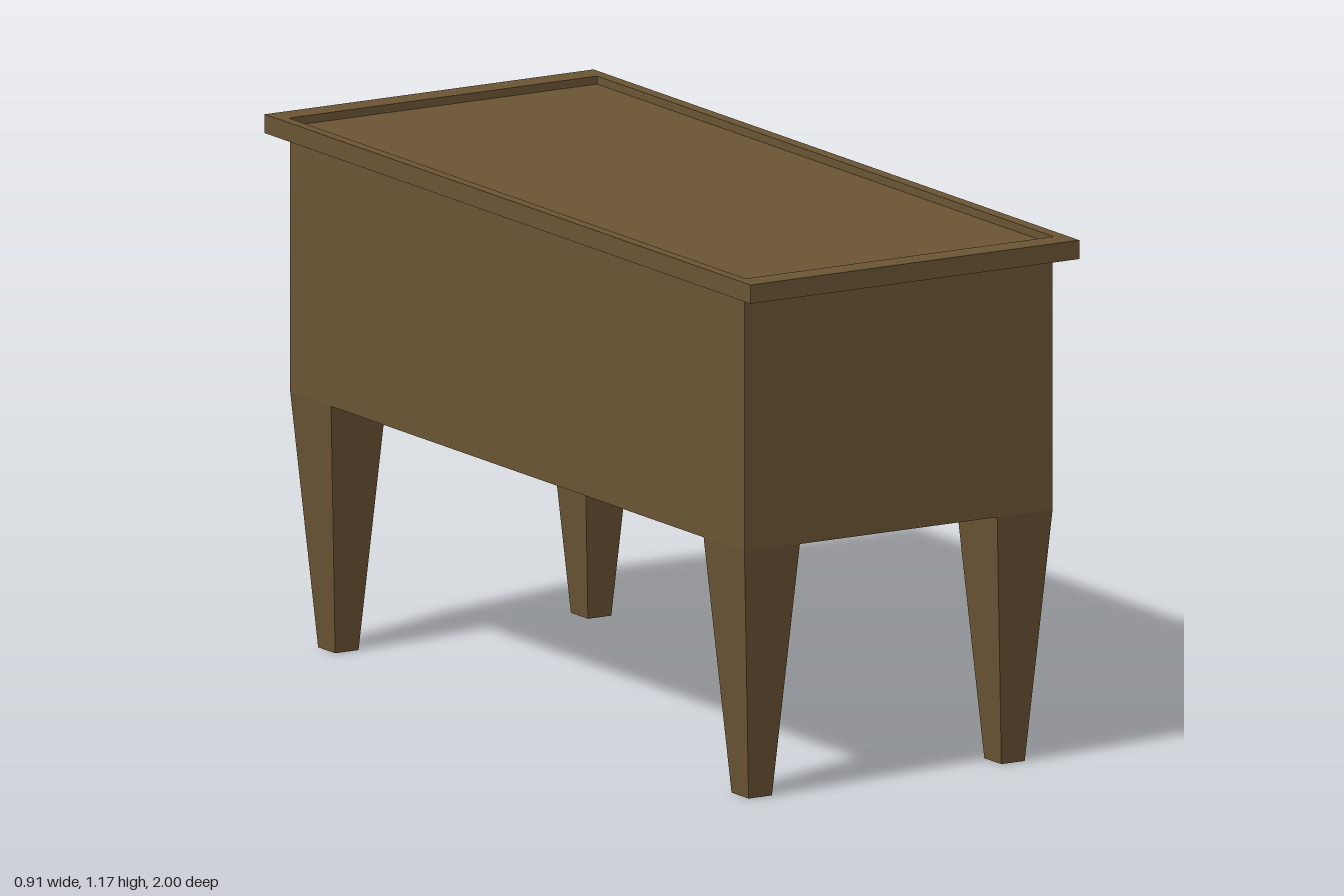
import * as THREE from 'three';

const wood = new THREE.MeshStandardMaterial({ color: 0x6b5535, flatShading: true });
const metal = new THREE.MeshStandardMaterial({ color: 0x77777c });

// Carcass extents; the drawers face +x
const X0 = -0.43, X1 = 0.36, Z = 0.935, BOTTOM = 0.565, RIM = 1.133, TOP = 1.175;

function add(parent, name, geometry, material = wood) {
  const mesh = new THREE.Mesh(geometry, material);
  mesh.name = name;
  parent.add(mesh);
  return mesh;
}

function box(x0, x1, y0, y1, z0, z1) {
  return new THREE.BoxGeometry(x1 - x0, y1 - y0, z1 - z0)
    .translate((x0 + x1) / 2, (y0 + y1) / 2, (z0 + z1) / 2);
}

function polygon(points) {
  return points.map(([x, y]) => new THREE.Vector2(x, y));
}

// Square leg narrowing evenly towards the floor
function legGeometry() {
  const g = new THREE.BoxGeometry(0.142, BOTTOM, 0.168);
  const p = g.attributes.position;
  for (let i = 0; i < p.count; i++) {
    if (p.getY(i) < 0) {
      p.setX(i, Math.sign(p.getX(i)) * 0.03);
      p.setZ(i, Math.sign(p.getZ(i)) * 0.035);
    }
  }
  g.computeVertexNormals();
  return g.translate(0, BOTTOM / 2, 0);
}

// Raised drawer front with its wedge-shaped pull and hanging ring
function drawer() {
  const group = new THREE.Group();
  group.name = 'drawer';
  add(group, 'drawerFront', box(X1 - 0.01, 0.38, 0.675, 1.053, -0.34, 0.34));

  const profile = new THREE.Shape(polygon([[0.375, 0.888], [0.453, 0.895], [0.425, 0.938], [0.375, 0.943]]));
  const pull = new THREE.ExtrudeGeometry(profile, { depth: 0.343, bevelEnabled: false });
  add(group, 'drawerPull', pull.translate(0, 0, -0.1715));

  const staple = add(group, 'ringStaple', new THREE.TorusGeometry(0.014, 0.005, 8, 20).rotateY(Math.PI / 2), metal);
  staple.position.set(0.383, 0.866, 0);

  const ring = add(group, 'pullRing', new THREE.TorusGeometry(0.03, 0.007, 10, 28).rotateY(Math.PI / 2), metal);
  ring.position.set(0.394, 0.852, 0);
  ring.rotation.z = 0.25;
  return group;
}

export function createModel() {
  const model = new THREE.Group();
  model.name = 'desk';

  add(model, 'carcass', box(X0, X1, BOTTOM, RIM, -Z, Z));

  // Tabletop rim around a slightly sunken panel
  const rim = new THREE.Shape(polygon([[-0.455, -1], [0.388, -1], [0.388, 1], [-0.455, 1]]));
  rim.holes.push(new THREE.Path(polygon([[X0, -0.94], [X0, 0.94], [X1, 0.94], [X1, -0.94]])));
  const rimGeometry = new THREE.ExtrudeGeometry(rim, { depth: TOP - RIM, bevelEnabled: false });
  add(model, 'tabletopRim', rimGeometry.rotateX(-Math.PI / 2).translate(0, RIM, 0));
  add(model, 'tabletopPanel', box(X0, X1, RIM, TOP - 0.018, -0.94, 0.94));

  // Four legs, flush with the outer corners
  for (const x of [X0 + 0.071, X1 - 0.071]) {
    for (const side of [-1, 1]) {
      add(model, 'leg', legGeometry()).position.set(x, 0, side * (Z - 0.084));
    }
  }

  // Pair of drawers
  for (const side of [-1, 1]) {
    const d = drawer();
    d.position.z = side * 0.427;
    model.add(d);
  }
  return model;
}
